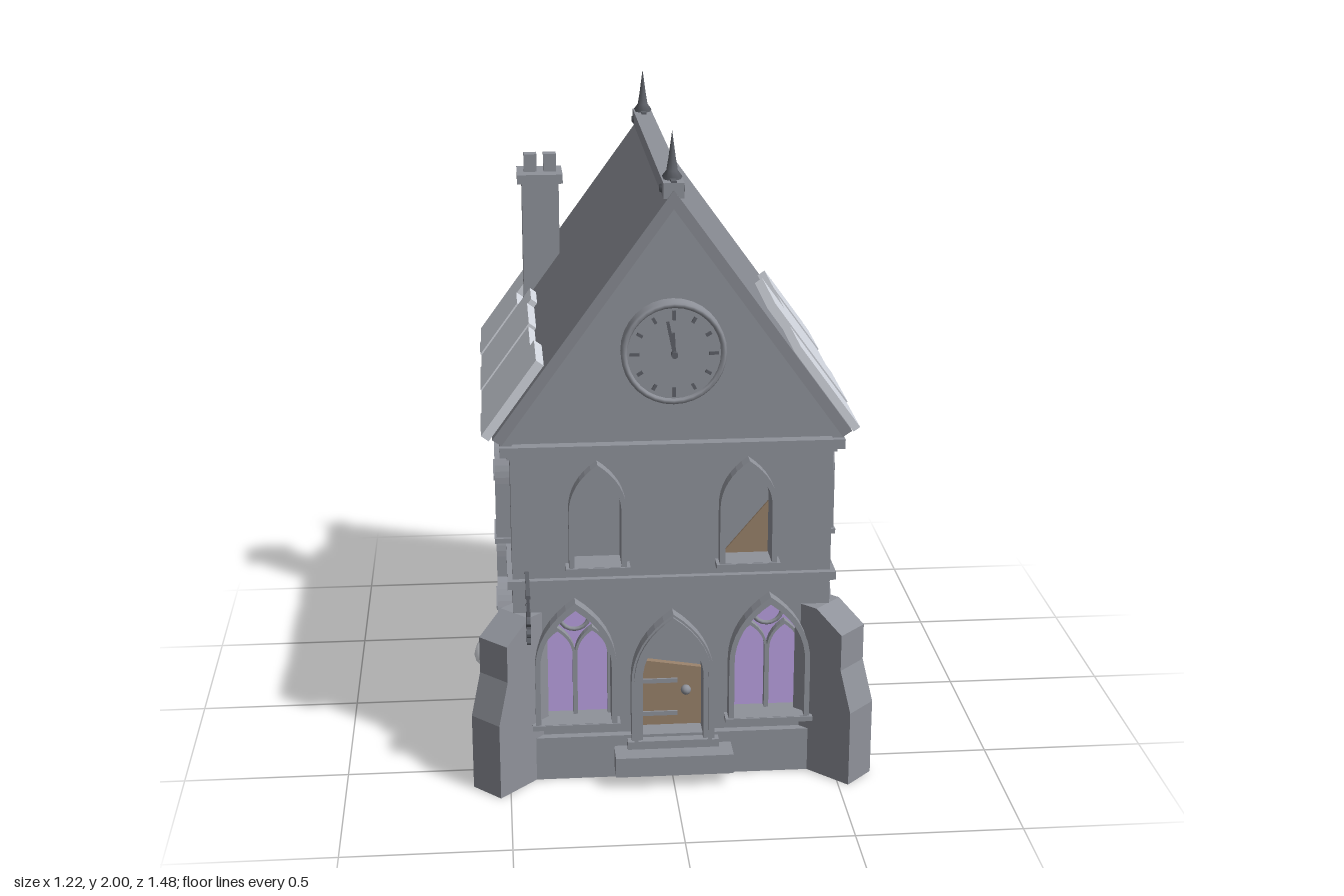
import * as THREE from 'three';

export function createModel() {
  const model = new THREE.Group();
  const mat = (name, color, side = THREE.FrontSide) => {
    const m = new THREE.MeshStandardMaterial({ color, side });
    m.name = name;
    return m;
  };
  const stone = mat('stone', 0x8f929a);
  const slate = mat('roof slate', 0x888b92);
  const paleSlate = mat('pale slab', 0xd3d7df);
  const snow = mat('snow', 0xe8ebf1);
  const glass = mat('violet glass', 0xb8a0e0);
  const wood = mat('wood', 0x98816a);
  const iron = mat('dark iron', 0x5e6168);

  const add = (parent, name, geo, material, x = 0, y = 0, z = 0) => {
    const m = new THREE.Mesh(geo, material);
    m.name = name;
    m.position.set(x, y, z);
    parent.add(m);
    return m;
  };
  // Box given by its min and max corners
  const box = (parent, name, material, x0, x1, y0, y1, z0, z1) =>
    add(parent, name, new THREE.BoxGeometry(x1 - x0, y1 - y0, z1 - z0), material,
      (x0 + x1) / 2, (y0 + y1) / 2, (z0 + z1) / 2);
  const extrude = (shape, z0, z1) => new THREE.ExtrudeGeometry(shape,
    { depth: z1 - z0, bevelEnabled: false, curveSegments: 8 }).translate(0, 0, z0);
  const poly = (pts) => new THREE.Shape(pts.map(([x, y]) => new THREE.Vector2(x, y)));

  // Pointed arch outline: centre x, half width, base and apex
  const arch = (x, w, y0, y1, Type = THREE.Shape) => {
    const s = new Type();
    const spring = y1 - w * 1.75;
    s.moveTo(x - w, y0);
    s.lineTo(x + w, y0);
    s.lineTo(x + w, spring);
    s.quadraticCurveTo(x + w, spring + w * 1.05, x, y1);
    s.quadraticCurveTo(x - w, spring + w * 1.05, x - w, spring);
    s.lineTo(x - w, y0);
    return s;
  };
  const archRing = (x, w, y0, y1, t, z0, z1) => {
    const s = arch(x, w + t, y0, y1 + t * 1.5);
    s.holes.push(arch(x, w, y0 + 0.001, y1, THREE.Path));
    return extrude(s, z0, z1);
  };

  // One wall with arched openings; local +z faces outwards
  const facade = (name, outline, openings, rotY, x, z) => {
    const g = new THREE.Group();
    g.name = name;
    const wall = poly(outline);
    for (const o of openings) wall.holes.push(arch(o.x, o.w + 0.006, o.y0, o.y1 + 0.008, THREE.Path));
    add(g, 'wall', extrude(wall, -0.06, 0), stone);
    for (const o of openings) {
      add(g, 'archFrame', archRing(o.x, o.w, o.y0, o.y1, o.t ?? 0.016, -0.05, 0.045), stone);
      add(g, 'pane', extrude(arch(o.x, o.w + 0.005, o.y0, o.y1 + 0.005), -0.058, -0.05), o.fill);
      const s = o.w + (o.t ?? 0.016) + 0.01;
      if (!o.door) box(g, 'sill', stone, o.x - s, o.x + s, o.y0 - 0.016, o.y0, -0.05, 0.05);
    }
    g.rotation.y = rotY;
    g.position.set(x, 0, z);
    model.add(g);
    return g;
  };

  const gable = [[-0.48, 0.1], [0.48, 0.1], [0.48, 1.11], [0, 1.78], [-0.48, 1.11]];
  const big = (x) => ({ x, w: 0.108, y0: 0.193, y1: 0.568, fill: glass });
  const upper = (x, fill) => ({ x, w: 0.07, y0: 0.705, y1: 1.005, fill });
  const front = facade('frontWall', gable, [
    big(-0.295), big(0.295), upper(-0.225, stone), upper(0.225, stone),
    { x: 0, w: 0.093, y0: 0.13, y1: 0.495, t: 0.034, fill: stone, door: true },
  ], 0, 0, 0.555);
  facade('backWall', gable, [upper(0, wood)], Math.PI, 0, -0.613);
  const sideWall = (name, s, fills) => facade(name,
    [[-0.584 - s * -0.029, 0.1], [0.584 + s * 0.029, 0.1], [0.584 + s * 0.029, 1.11], [-0.584 - s * -0.029, 1.11]],
    fills.map((fill, i) => ({
      x: s * (i % 2 ? 0.315 : -0.255), w: 0.06, fill,
      y0: i < 2 ? 0.705 : 0.235, y1: i < 2 ? 0.99 : 0.52,
    })), s * Math.PI / 2, s * 0.48, 0);
  sideWall('leftWall', 1, [glass, wood, glass, glass]);
  sideWall('rightWall', -1, [glass, glass, glass, glass]);

  // Tracery of the two big windows
  for (const x of [-0.295, 0.295]) {
    for (const d of [-0.053, 0.053])
      add(front, 'lancetTracery', archRing(x + d, 0.046, 0.193, 0.472, 0.008, -0.05, -0.025), stone);
    add(front, 'tracerRing', new THREE.TorusGeometry(0.046, 0.007, 6, 20), stone, x, 0.52, -0.036);
  }
  // Broken board in an upper window
  add(front, 'brokenBoard', extrude(poly([[0.156, 0.705], [0.294, 0.705], [0.294, 0.87]]), -0.05, -0.042), wood);

  // Door, its hinges, knob, inner moulding and step
  add(front, 'door', extrude(poly([[-0.093, 0.145], [0.093, 0.145], [0.093, 0.335], [-0.093, 0.365]]), -0.05, -0.03), wood);
  for (const y of [0.185, 0.295]) box(front, 'hinge', stone, -0.09, 0.02, y - 0.007, y + 0.007, -0.03, -0.024);
  add(front, 'doorKnob', new THREE.SphereGeometry(0.016, 10, 8), stone, 0.045, 0.265, -0.02);
  add(front, 'doorMoulding', archRing(0, 0.107, 0.13, 0.52, 0.012, 0.03, 0.055), stone);
  box(model, 'threshold', stone, -0.14, 0.14, 0.105, 0.13, 0.55, 0.61);
  box(model, 'step', stone, -0.18, 0.18, 0.042, 0.105, 0.57, 0.667);

  // Plinth, string course and cornice
  box(model, 'plinth', stone, -0.505, 0.505, 0, 0.14, -0.64, 0.58);
  box(model, 'stringCourse', stone, -0.495, 0.495, 0.632, 0.658, -0.63, 0.575);
  box(model, 'lowerCornice', stone, -0.49, 0.49, 1.04, 1.055, -0.622, 0.567);
  box(model, 'cornice', stone, -0.51, 0.51, 1.055, 1.085, -0.63, 0.59);

  // Diagonal buttresses at the front corners
  const buttress = poly([[-0.08, 0], [0.135, 0], [0.135, 0.24], [0.095, 0.37], [0.095, 0.485], [0, 0.548], [-0.08, 0.548]]);
  for (const s of [-1, 1]) {
    const b = add(model, 'buttress', extrude(buttress, -0.058, 0.058), stone, s * 0.476, 0, 0.555);
    b.rotation.y = s > 0 ? -Math.PI / 4 : -Math.PI * 3 / 4;
  }

  // Roof
  const slope = 1.38, apex = 1.84, angle = Math.atan(slope);
  add(model, 'roof', extrude(poly([[0, apex], [-0.53, apex - slope * 0.53], [-0.503, apex - slope * 0.53 - 0.018],
    [0, apex - 0.055], [0.503, apex - slope * 0.53 - 0.018], [0.53, apex - slope * 0.53]]), -0.645, 0.583), slate);
  box(model, 'ridge', stone, -0.03, 0.03, 1.815, 1.86, -0.64, 0.58);

  // Raised gable edging, front and back
  const edging = poly([[0, 1.795], [-0.485, 1.125], [-0.51, 1.085], [-0.475, 1.085], [0, 1.745], [0.475, 1.085], [0.51, 1.085], [0.485, 1.125]]);
  add(model, 'gableEdging', extrude(edging, 0.55, 0.572), stone);
  add(model, 'gableEdging', extrude(edging, -0.63, -0.608), stone);

  // Pale slabs along both eaves: z from, z to, x of the upper edge
  const slabs = (s, rows) => rows.forEach(([z0, z1, xTop], i) => {
    const xi = xTop - 0.02, xm = (0.54 + xi) / 2, t = 0.024 + (i % 2) * 0.004;
    const m = add(model, 'eaveSlab', new THREE.BoxGeometry((0.54 - xi) / Math.cos(angle), t, z1 - z0), paleSlate,
      s * (xm + Math.sin(angle) * t / 2), apex - slope * xm + Math.cos(angle) * t / 2, (z0 + z1) / 2);
    m.rotation.z = -s * angle;
  });
  slabs(1, [[0.325, 0.55, 0.377], [0.002, 0.312, 0.33], [-0.255, -0.005, 0.42], [-0.497, -0.262, 0.405], [-0.615, -0.506, 0.447]]);
  slabs(-1, [[-0.62, -0.44, 0.325], [-0.435, -0.293, 0.435], [-0.285, -0.145, 0.395], [-0.14, 0.1, 0.405], [0.105, 0.33, 0.41], [0.338, 0.55, 0.395]]);

  // Finials at both ridge ends
  const finial = [[0, 1.82], [0.038, 1.825], [0.038, 1.842], [0.02, 1.85], [0.03, 1.868], [0.017, 1.885], [0.011, 1.92], [0, 2]]
    .map(([r, y]) => new THREE.Vector2(r, y));
  for (const z of [0.52, -0.587]) {
    add(model, 'finial', new THREE.LatheGeometry(finial, 10), iron, 0, 0, z);
    box(model, 'finialStrap', iron, -0.008, 0.008, 1.856, 1.866, z - 0.06, z + 0.06);
  }

  // Chimney
  box(model, 'chimneyShaft', stone, -0.413, -0.293, 1.18, 1.67, -0.475, -0.355);
  box(model, 'chimneyCap', stone, -0.428, -0.28, 1.67, 1.7, -0.49, -0.34);
  for (const x of [-0.384, -0.32]) box(model, 'chimneyPot', stone, x - 0.021, x + 0.021, 1.7, 1.758, -0.436, -0.394);

  // Clock in the front gable
  const clock = new THREE.Group();
  clock.name = 'clock';
  clock.position.set(0, 1.365, 0.555);
  model.add(clock);
  add(clock, 'clockFace', new THREE.CylinderGeometry(0.153, 0.153, 0.045, 32).rotateX(Math.PI / 2), stone, 0, 0, 0.0225);
  add(clock, 'clockRim', new THREE.TorusGeometry(0.145, 0.009, 6, 32), stone, 0, 0, 0.046);
  for (let i = 0; i < 12; i++) {
    const a = i * Math.PI / 6;
    const tick = add(clock, 'hourMark', new THREE.BoxGeometry(0.009, i % 3 ? 0.018 : 0.028, 0.008), iron,
      Math.sin(a) * 0.115, Math.cos(a) * 0.115, 0.049);
    tick.rotation.z = -a;
  }
  for (const [len, a] of [[0.1, 0.2], [0.065, 0.06]]) {
    const hand = add(clock, 'clockHand', new THREE.BoxGeometry(0.009, len, 0.008).translate(0, len / 2, 0), iron, 0, 0, 0.056);
    hand.rotation.z = a;
  }
  add(clock, 'clockHub', new THREE.CylinderGeometry(0.01, 0.01, 0.025, 10).rotateX(Math.PI / 2), iron, 0, 0, 0.057);

  // Hanging cogwheel sign
  const sx = -0.437;
  box(model, 'signBar', iron, sx - 0.006, sx + 0.006, 0.67, 0.682, 0.555, 0.74);
  const brace = box(model, 'signBrace', iron, sx - 0.005, sx + 0.005, 0.628, 0.638, 0.545, 0.655);
  brace.rotation.x = -0.65;
  for (const z of [0.64, 0.7]) box(model, 'signHanger', iron, sx - 0.004, sx + 0.004, 0.6, 0.672, z - 0.003, z + 0.003);
  const teeth = [];
  for (let i = 0; i < 40; i++) {
    const r = i % 4 < 2 ? 0.063 : 0.049, a = (i + 0.5) * Math.PI / 20;
    teeth.push([r * Math.cos(a), r * Math.sin(a)]);
  }
  add(model, 'cogSign', extrude(poly(teeth), -0.006, 0.006).rotateY(Math.PI / 2), iron, sx, 0.562, 0.67);

  // Snow mounds with flat undersides
  for (const [x, z, rx, rz] of [[0.48, -0.067, 0.128, 0.217], [-0.48, -0.2, 0.13, 0.16], [-0.175, -0.613, 0.272, 0.122]]) {
    const mound = new THREE.Group();
    mound.name = 'snowMound';
    add(mound, 'moundTop', new THREE.SphereGeometry(1, 20, 7, 0, Math.PI * 2, 0, Math.PI / 2), snow);
    add(mound, 'moundBase', new THREE.CircleGeometry(1, 20).rotateX(Math.PI / 2), snow);
    mound.scale.set(rx, 0.078, rz);
    mound.position.set(x, 0.07, z);
    model.add(mound);
  }
  return model;
}
